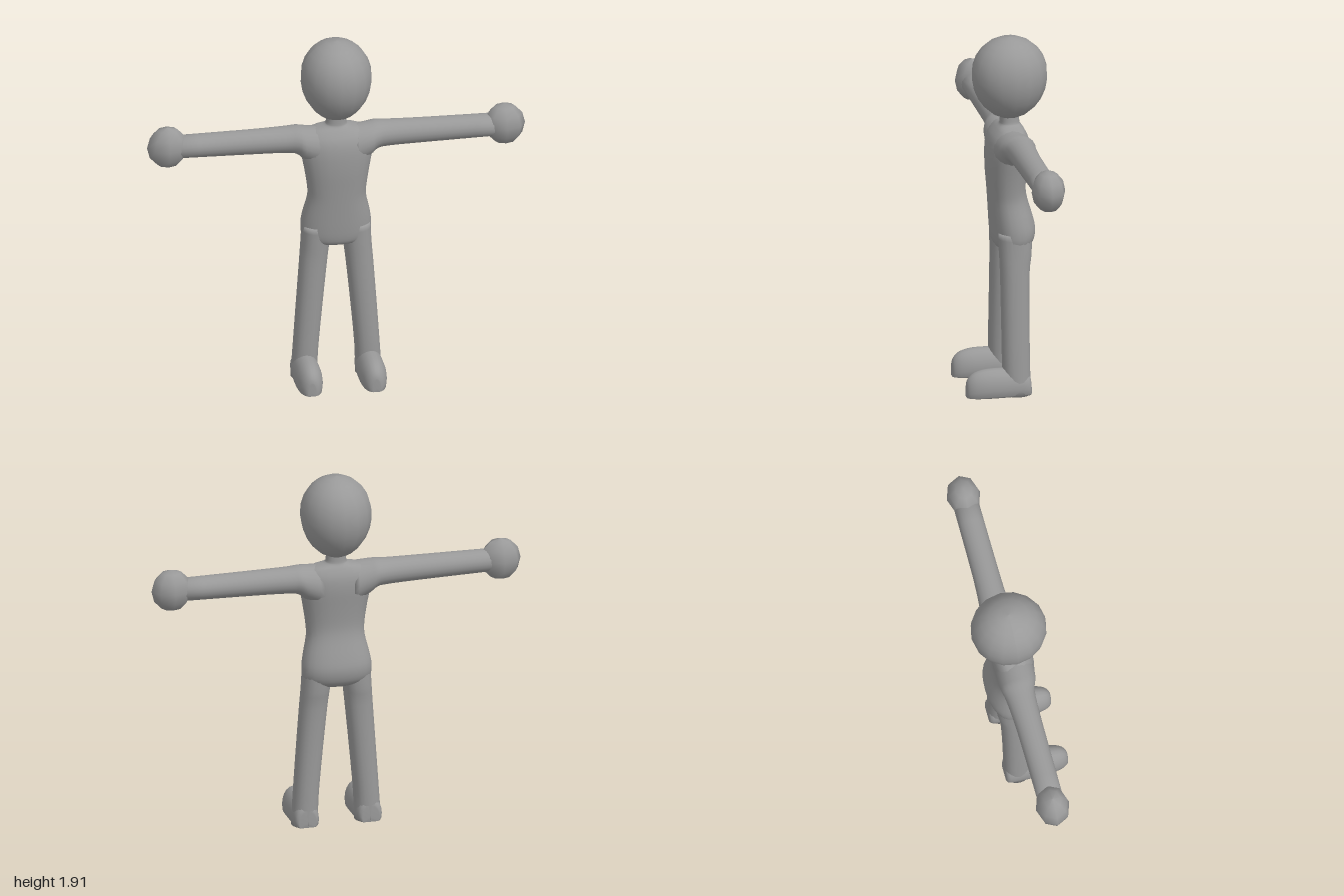
import * as THREE from 'three';

const AXES = { x: [0, 1, 2], y: [1, 2, 0], z: [2, 0, 1] };

// Smooth closed skin through oval sections along an axis.
// Row: [position, uMin, uMax, vMin, vMax]; (u, v) is y,z for x; z,x for y; x,y for z.
function loft(axis, rows, { sides = 20, steps = 3, power = 1 } = {}) {
  const [ai, ui, vi] = AXES[axis];
  const rings = [];
  for (let i = 0; i < rows.length - 1; i++) {
    const p = [rows[Math.max(i - 1, 0)], rows[i], rows[i + 1], rows[Math.min(i + 2, rows.length - 1)]];
    for (let s = 0; s < steps; s++) {
      const t = s / steps;
      rings.push(rows[i].map((_, k) => {
        const [a, b, c, d] = p.map((r) => r[k]);
        return b + 0.5 * t * (c - a + t * (2 * a - 5 * b + 4 * c - d + t * (3 * (b - c) + d - a)));
      }));
    }
  }
  rings.push(rows[rows.length - 1]);

  const pos = [], index = [];
  const add = (a, u, v) => {
    const q = [0, 0, 0];
    q[ai] = a; q[ui] = u; q[vi] = v;
    pos.push(q[0], Math.max(q[1], 0), q[2]);
  };
  const round = (n) => Math.sign(n) * Math.abs(n) ** power;
  for (const [a, u0, u1, v0, v1] of rings) {
    for (let j = 0; j < sides; j++) {
      const w = (j / sides) * Math.PI * 2;
      add(a, (u0 + u1) / 2 + (u1 - u0) / 2 * round(Math.cos(w)), (v0 + v1) / 2 + (v1 - v0) / 2 * round(Math.sin(w)));
    }
  }
  for (let i = 0; i < rings.length - 1; i++) {
    for (let j = 0; j < sides; j++) {
      const a = i * sides + j, b = i * sides + (j + 1) % sides;
      index.push(a, b, b + sides, a, b + sides, a + sides);
    }
  }
  // End caps
  const last = (rings.length - 1) * sides, c0 = pos.length / 3;
  for (const r of [rings[0], rings[rings.length - 1]]) add(r[0], (r[1] + r[2]) / 2, (r[3] + r[4]) / 2);
  for (let j = 0; j < sides; j++) {
    const k = (j + 1) % sides;
    index.push(c0, k, j, c0 + 1, last + j, last + k);
  }
  const g = new THREE.BufferGeometry();
  g.setAttribute('position', new THREE.Float32BufferAttribute(pos, 3));
  g.setIndex(index);
  g.computeVertexNormals();
  return g;
}

// Copy reflected to the other side, with its faces turned outward again
function mirrored(geometry) {
  const g = geometry.clone();
  const p = g.attributes.position, idx = g.index;
  for (let i = 0; i < p.count; i++) p.setX(i, -p.getX(i));
  for (let i = 0; i < idx.count; i += 3) {
    const b = idx.getX(i + 1);
    idx.setX(i + 1, idx.getX(i + 2));
    idx.setX(i + 2, b);
  }
  g.computeVertexNormals();
  return g;
}

export function createModel() {
  const model = new THREE.Group();
  const grey = new THREE.MeshStandardMaterial({ color: 0x999999 });
  grey.name = 'plain grey';
  const part = (name, geometry) => {
    const mesh = new THREE.Mesh(geometry, grey);
    mesh.name = name;
    model.add(mesh);
  };
  const pair = (name, geometry) => {
    part(name + 'Left', geometry);
    part(name + 'Right', mirrored(geometry));
  };

  // Egg-shaped head, narrower at the chin
  const head = new THREE.SphereGeometry(1, 16, 12);
  const hp = head.attributes.position;
  for (let i = 0; i < hp.count; i++) {
    const y = hp.getY(i), taper = 1 + 0.07 * y;
    hp.setXYZ(i, hp.getX(i) * 0.187 * taper, 1.69 + y * 0.222, -0.035 + hp.getZ(i) * 0.2 * taper);
  }
  head.computeVertexNormals();
  part('head', head);

  // Torso from crotch to neck
  part('torso', loft('y', [
    [0.755, -0.07, 0.0, -0.05, 0.05],
    [0.775, -0.12, 0.045, -0.14, 0.14],
    [0.81, -0.15, 0.06, -0.18, 0.18],
    [0.87, -0.162, 0.067, -0.186, 0.186],
    [0.94, -0.148, 0.072, -0.175, 0.175],
    [1.03, -0.122, 0.078, -0.155, 0.155],
    [1.1, -0.113, 0.083, -0.157, 0.157],
    [1.2, -0.12, 0.09, -0.172, 0.172],
    [1.3, -0.13, 0.088, -0.19, 0.19],
    [1.37, -0.125, 0.072, -0.19, 0.19],
    [1.415, -0.105, 0.04, -0.15, 0.15],
    [1.435, -0.09, 0.02, -0.07, 0.07],
    [1.455, -0.085, 0.015, -0.053, 0.053],
    [1.52, -0.085, 0.015, -0.05, 0.05],
  ], { sides: 24, power: 0.88 }));

  // Arms stretched sideways, flaring into the shoulders
  pair('arm', loft('x', [
    [0.08, 1.2, 1.425, -0.125, 0.075],
    [0.17, 1.25, 1.432, -0.13, 0.065],
    [0.21, 1.283, 1.435, -0.128, 0.05],
    [0.27, 1.292, 1.432, -0.118, 0.037],
    [0.45, 1.297, 1.429, -0.108, 0.032],
    [0.84, 1.305, 1.425, -0.105, 0.03],
  ]));

  // Coarse ball hands
  const hand = new THREE.SphereGeometry(1, 8, 6);
  hand.scale(0.108, 0.112, 0.09);
  hand.translate(0.89, 1.367, -0.038);
  pair('hand', hand);

  // Legs, splayed slightly outward
  pair('leg', loft('y', [
    [0.0, -0.105, 0.03, 0.1, 0.24],
    [0.15, -0.106, 0.04, 0.097, 0.23],
    [0.4, -0.106, 0.041, 0.075, 0.213],
    [0.65, -0.112, 0.042, 0.05, 0.195],
    [0.75, -0.125, 0.045, 0.038, 0.187],
    [0.87, -0.13, 0.05, 0.02, 0.18],
  ], { power: 0.9 }));

  // Feet with domed tops, rounded toes and flat soles
  pair('foot', loft('z', [
    [-0.105, 0.125, 0.215, -0.04, 0.09],
    [-0.085, 0.105, 0.235, -0.05, 0.125],
    [0.0, 0.098, 0.24, -0.06, 0.143],
    [0.12, 0.098, 0.24, -0.06, 0.145],
    [0.19, 0.11, 0.228, -0.06, 0.13],
    [0.225, 0.13, 0.208, -0.05, 0.1],
    [0.235, 0.15, 0.19, -0.03, 0.07],
  ]));

  return model;
}
